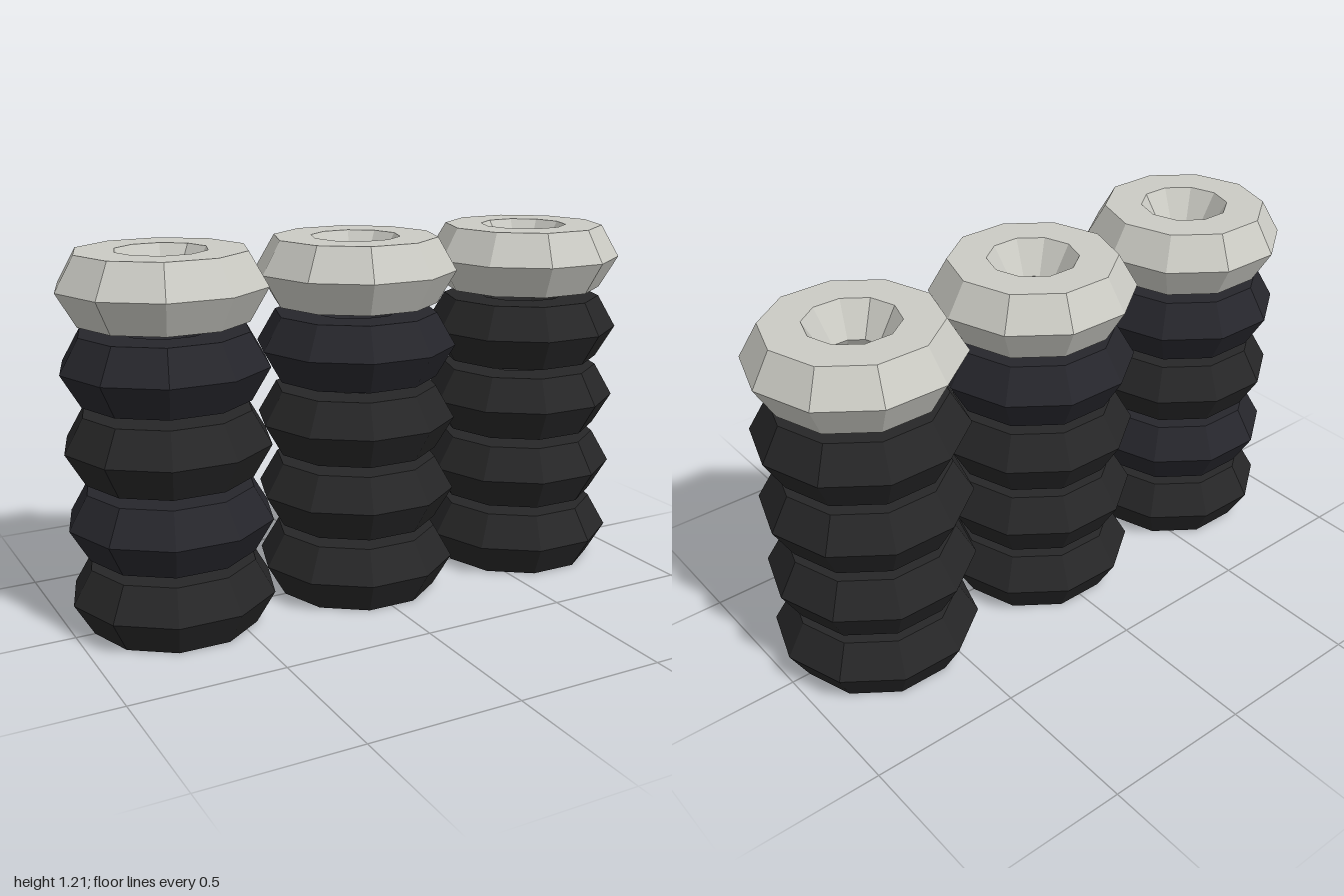
import * as THREE from 'three';

export function createModel() {
  const group = new THREE.Group();
  group.name = 'tyreBarrier';

  const tubeRadius = 0.1245;
  const ringRadius = 1 / 3 - tubeRadius;
  const halfHeight = tubeRadius * Math.sin(Math.PI / 3);
  const layers = 5;
  const spacing = 0.2475;

  // Low-poly tyre: hexagonal tube swept around ten sides, lying flat
  const tyre = new THREE.TorusGeometry(ringRadius, tubeRadius, 6, 10);
  tyre.rotateX(Math.PI / 2);

  const material = (color) => new THREE.MeshStandardMaterial({ color, flatShading: true });
  const paint = material(0xcbcbc4);
  const rubber = material(0x262627);
  const blueRubber = material(0x26262c);

  // Slightly bluer tyres, as column-layer pairs
  const bluish = new Set(['0-1', '0-3', '1-3']);

  // Three stacks side by side, each capped with a pale tyre
  ['right', 'middle', 'left'].forEach((side, column) => {
    const stack = new THREE.Group();
    stack.name = `${side}Stack`;
    stack.position.x = (column - 1) * 2 / 3;
    for (let layer = 0; layer < layers; layer++) {
      const top = layer === layers - 1;
      const dark = bluish.has(`${column}-${layer}`) ? blueRubber : rubber;
      const mesh = new THREE.Mesh(tyre, top ? paint : dark);
      mesh.name = top ? 'paintedTopTyre' : `tyre${layer + 1}`;
      mesh.position.y = halfHeight + layer * spacing;
      stack.add(mesh);
    }
    group.add(stack);
  });

  return group;
}
